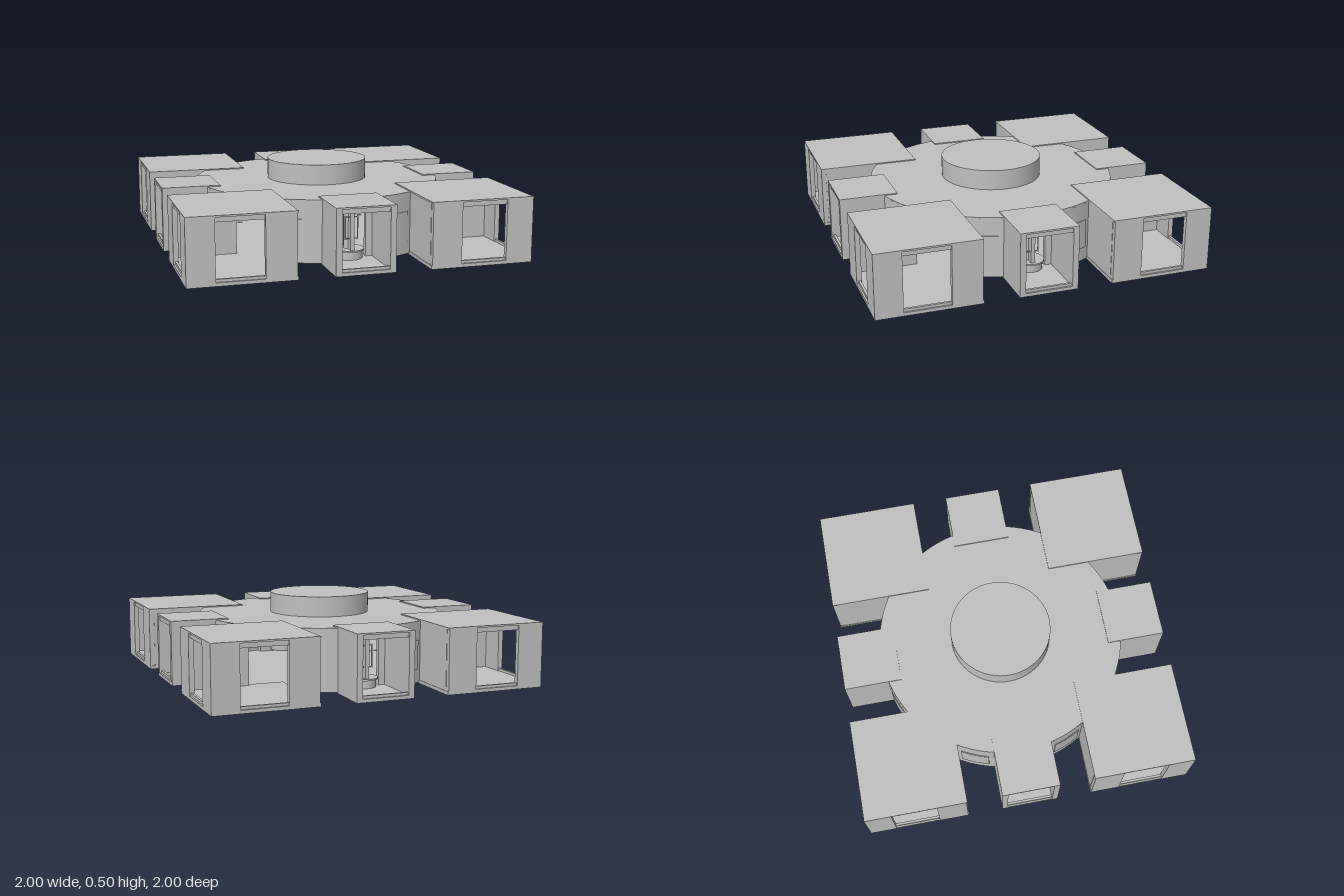
import * as THREE from 'three';

const grey = new THREE.MeshStandardMaterial({ color: 0xc0c0c0 });
grey.name = 'pale grey';

function add(parent, name, geometry) {
  const mesh = new THREE.Mesh(geometry, grey);
  mesh.name = name;
  parent.add(mesh);
  return mesh;
}

// box given by its minimum and maximum on each axis
function box(parent, name, x0, x1, y0, y1, z0, z1) {
  const mesh = add(parent, name, new THREE.BoxGeometry(x1 - x0, y1 - y0, z1 - z0));
  mesh.position.set((x0 + x1) / 2, (y0 + y1) / 2, (z0 + z1) / 2);
  return mesh;
}

function cylinder(parent, name, r, y0, y1, z = 0, sides = 32) {
  const mesh = add(parent, name, new THREE.CylinderGeometry(r, r, y1 - y0, sides));
  mesh.position.set(0, (y0 + y1) / 2, z);
  return mesh;
}

// upright curved wall between two angles in degrees
function arcWall(parent, name, rIn, rOut, deg0, deg1, y0, y1) {
  const a0 = THREE.MathUtils.degToRad(deg0), a1 = THREE.MathUtils.degToRad(deg1);
  const shape = new THREE.Shape();
  shape.absarc(0, 0, rOut, a0, a1, false);
  shape.absarc(0, 0, rIn, a1, a0, true);
  const geo = new THREE.ExtrudeGeometry(shape, { depth: y1 - y0, bevelEnabled: false, curveSegments: 8 });
  geo.rotateX(-Math.PI / 2);
  add(parent, name, geo).position.y = y0;
}

const FLOOR = 0.02, CEILING = 0.375, TOP = 0.385;

// square room in the +x +z corner, open towards the hall
function cornerRoom() {
  const room = new THREE.Group();
  room.name = 'cornerRoom';
  box(room, 'roomFloor', 0.385, 1, 0, FLOOR, 0.385, 1);
  box(room, 'roomRoof', 0.385, 1, CEILING, TOP, 0.385, 1);
  const t = 0.03;
  // front walls either side of the large opening, repeated for the side face
  const strips = [
    ['outerWall', 0.39, 0.567, FLOOR, CEILING, 1 - t, 1],
    ['outerWall', 0.84, 1, FLOOR, CEILING, 1 - t, 1],
    ['innerWall', 0.605, 1 - t, FLOOR, CEILING, 0.388, 0.388 + t],
    ['windowSill', 0.567, 0.84, FLOOR, 0.036, 0.975, 0.99],
    ['windowHead', 0.567, 0.84, 0.347, CEILING, 0.975, 0.99],
  ];
  for (const [name, a0, a1, y0, y1, b0, b1] of strips) {
    box(room, name, a0, a1, y0, y1, b0, b1);
    box(room, name, b0, b1, y0, y1, a0, a1);
  }
  // slim ceiling lights
  box(room, 'ceilingLight', 0.62, 0.8, 0.369, CEILING, 0.84, 0.85);
  box(room, 'ceilingLight', 0.84, 0.85, 0.369, CEILING, 0.62, 0.8);
  return room;
}

// entrance porch on +z with a pivoting door
function entrance() {
  const porch = new THREE.Group();
  porch.name = 'entrance';
  box(porch, 'porchFloor', -0.175, 0.175, 0, FLOOR, 0.65, 1);
  box(porch, 'porchRoof', -0.175, 0.175, CEILING, TOP, 0.65, 1);
  box(porch, 'threshold', -0.14, 0.14, FLOOR, 0.036, 0.975, 0.99);
  box(porch, 'lintel', -0.14, 0.14, 0.347, CEILING, 0.975, 0.99);
  for (const s of [-1, 1]) {
    box(porch, 'porchWall', s * 0.1575 - 0.0175, s * 0.1575 + 0.0175, FLOOR, CEILING, 0.65, 1);
    box(porch, 'innerJamb', s * 0.12 - 0.02, s * 0.12 + 0.02, FLOOR, CEILING, 0.65, 0.68);
  }
  // door post on a round plinth
  const z = 0.675;
  cylinder(porch, 'doorPlinth', 0.08, FLOOR, 0.066, z);
  cylinder(porch, 'doorPlinthCap', 0.09, 0.066, 0.076, z);
  cylinder(porch, 'doorPost', 0.03, 0.076, CEILING, z, 24);
  box(porch, 'doorLeaf', -0.012, 0.012, 0.076, CEILING, z - 0.07, z + 0.07);
  // pull handles on both faces
  for (const s of [-1, 1]) {
    const x = s * 0.037;
    box(porch, 'handleBar', x - 0.003, x + 0.003, 0.135, 0.275, z + 0.047, z + 0.053);
    for (const y of [0.142, 0.268]) {
      const xm = s * 0.0245;
      box(porch, 'handleMount', xm - 0.0125, xm + 0.0125, y - 0.003, y + 0.003, z + 0.047, z + 0.053);
    }
  }
  return porch;
}

export function createModel() {
  const model = new THREE.Group();
  model.name = 'pavilion';

  // round hall with its raised drum
  cylinder(model, 'hallFloor', 0.75, 0.008, 0.018, 0, 96);
  cylinder(model, 'hallRoof', 0.75, 0.366, 0.378, 0, 96);
  cylinder(model, 'roofDrum', 0.307, 0.37, 0.5, 0, 64);

  for (let q = 0; q < 4; q++) {
    const quarter = new THREE.Group();
    quarter.name = 'quarter';
    quarter.rotation.y = q * Math.PI / 2;
    quarter.add(cornerRoom(), entrance());
    // hall wall pieces either side of the entrance, each with a window panel
    for (const s of [-1, 1]) {
      const mid = -90 + s * 22.5;
      arcWall(quarter, 'hallWall', 0.72, 0.75, mid - 9.2, mid + 9.2, 0.015, 0.37);
      arcWall(quarter, 'windowPanel', 0.748, 0.755, mid - 6.6, mid + 6.6, 0.09, 0.265);
    }
    model.add(quarter);
  }
  return model;
}
